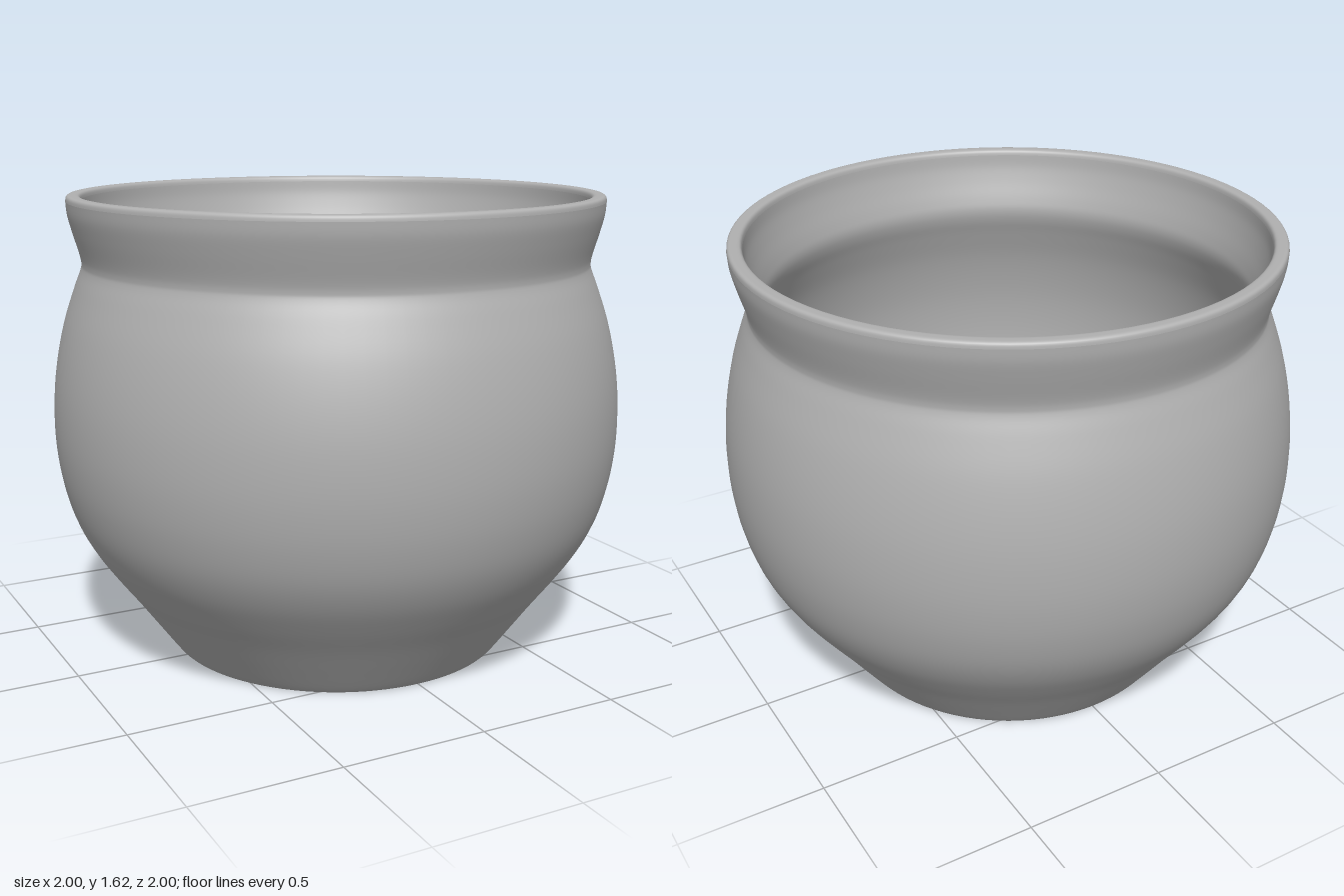
import * as THREE from 'three';

const SEGMENTS = 96;

// Smooth curve through a few [radius, height] points
const smooth = (points, divisions) =>
  new THREE.SplineCurve(points.map(([r, y]) => new THREE.Vector2(r, y))).getPoints(divisions);

export function createModel() {
  const pot = new THREE.Group();
  pot.name = 'pot';

  const clay = new THREE.MeshStandardMaterial({ color: 0xb0b0b0 });
  clay.name = 'grey clay';

  const lathe = (name, points) => {
    const mesh = new THREE.Mesh(new THREE.LatheGeometry(points, SEGMENTS), clay);
    mesh.name = name;
    pot.add(mesh);
  };

  const disc = (name, radius, y, up) => {
    const mesh = new THREE.Mesh(new THREE.CircleGeometry(radius, SEGMENTS), clay);
    mesh.name = name;
    mesh.rotation.x = up ? -Math.PI / 2 : Math.PI / 2;
    mesh.position.y = y;
    pot.add(mesh);
  };

  // Outer wall: tapered foot, round belly, pinched neck, flared collar
  lathe('outerWall', smooth([
    [0.595, 0], [0.61, 0.012], [0.675, 0.1], [0.748, 0.2], [0.824, 0.3], [0.893, 0.4],
    [0.943, 0.5], [0.976, 0.61], [0.994, 0.72], [1, 0.83], [0.995, 0.95], [0.978, 1.07],
    [0.95, 1.19], [0.913, 1.3], [0.89, 1.36], [0.886, 1.385], [0.892, 1.42], [0.912, 1.49],
    [0.927, 1.55], [0.931, 1.595],
  ], 90));

  // Rounded rim
  lathe('rim', smooth([
    [0.931, 1.595], [0.929, 1.607], [0.922, 1.614], [0.908, 1.615],
    [0.89, 1.614], [0.882, 1.607], [0.879, 1.595],
  ], 18));

  // Inner wall, running down from the rim to the floor
  lathe('innerWall', smooth([
    [0.879, 1.595], [0.874, 1.55], [0.86, 1.495], [0.84, 1.43], [0.831, 1.385], [0.838, 1.34],
    [0.862, 1.275], [0.898, 1.17], [0.924, 1.06], [0.94, 0.95], [0.945, 0.83], [0.939, 0.72],
    [0.922, 0.62], [0.891, 0.52], [0.845, 0.425], [0.779, 0.33], [0.701, 0.23], [0.63, 0.13],
    [0.573, 0.05],
  ], 90));

  // Inside floor and underside
  disc('floor', 0.573, 0.05, true);
  disc('underside', 0.595, 0, false);

  return pot;
}
